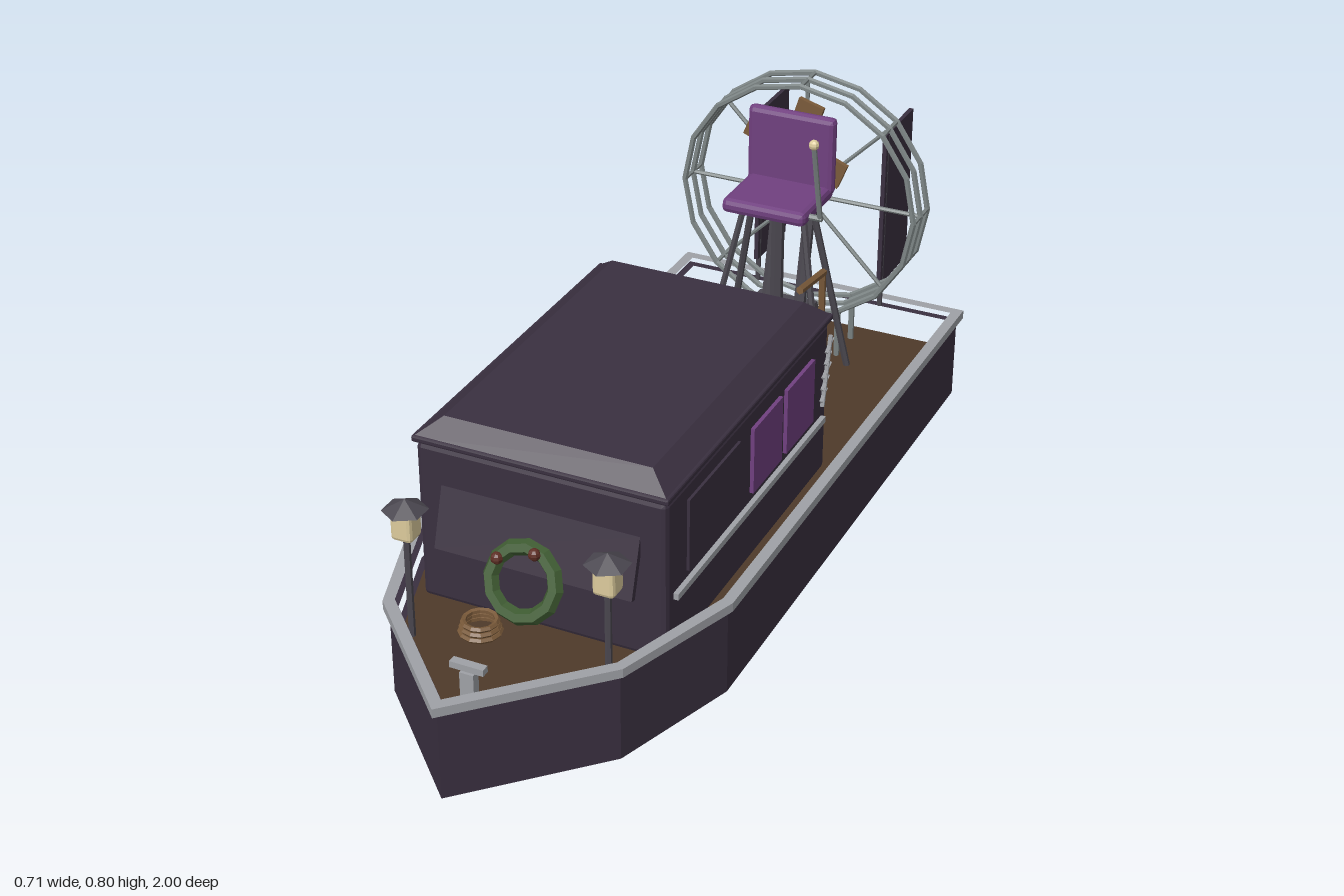
import * as THREE from 'three';
import { RoundedBoxGeometry } from 'three/addons/geometries/RoundedBoxGeometry.js';

const mat = (name, color, flat = true) => {
  const m = new THREE.MeshStandardMaterial({ color, flatShading: flat });
  m.name = name;
  return m;
};

export function createModel() {
  const M = {
    hull: mat('dark plum paint', 0x3a3040),
    silver: mat('silver trim', 0x9fa1a6),
    steel: mat('cage steel', 0x7d8585),
    deck: mat('deck brown', 0x4e3a2a),
    wood: mat('light wood', 0x7a5a3a),
    purple: mat('purple', 0x70407f),
    green: mat('wreath green', 0x3f5c32),
    cream: mat('lamp cream', 0xdccb9c),
    red: mat('berry red', 0x5e2e24),
    slate: mat('slate', 0x4b4850),
  };
  const model = new THREE.Group();
  model.name = 'fanBoat';

  const add = (name, geo, m, x = 0, y = 0, z = 0, rx = 0, ry = 0, rz = 0) => {
    const mesh = new THREE.Mesh(geo, m);
    mesh.name = name;
    mesh.position.set(x, y, z);
    mesh.rotation.set(rx, ry, rz);
    model.add(mesh);
    return mesh;
  };
  const box = (w, h, d) => new THREE.BoxGeometry(w, h, d);
  const rbox = (w, h, d, r) => new RoundedBoxGeometry(w, h, d, 1, r);
  // Box whose top is scaled by kx, kz
  const taper = (w, h, d, kx, kz) => {
    const g = box(w, h, d), p = g.attributes.position;
    for (let i = 0; i < p.count; i++) {
      if (p.getY(i) > 0) p.setXYZ(i, p.getX(i) * kx, p.getY(i), p.getZ(i) * kz);
    }
    g.computeVertexNormals();
    return g;
  };
  // Straight rod between two points
  const rod = (name, a, b, r, m, sides = 6) => {
    const A = new THREE.Vector3(...a), B = new THREE.Vector3(...b), d = B.clone().sub(A);
    const mesh = add(name, new THREE.CylinderGeometry(r, r, d.length(), sides), m);
    mesh.position.copy(A).add(B).multiplyScalar(0.5);
    mesh.quaternion.setFromUnitVectors(new THREE.Vector3(0, 1, 0), d.normalize());
    return mesh;
  };

  // Hull: plan outline grown by o, extruded upward
  const outline = (o) => {
    const half = [[0.345 + o, -0.86 - o], [0.345 + o, 0.45 + o * 0.3], [0.25 + o * 0.8, 0.73 + o * 0.6], [0, 0.98 + o * 1.4]];
    const pts = [...half, ...half.slice(0, 3).reverse().map(([x, z]) => [-x, z])];
    return pts.map(([x, z]) => new THREE.Vector2(x, -z));
  };
  const slab = (o, inner, h) => {
    const s = new THREE.Shape(outline(o));
    if (inner !== null) s.holes.push(new THREE.Path(outline(inner)));
    return new THREE.ExtrudeGeometry(s, { depth: h, bevelEnabled: false }).rotateX(-Math.PI / 2);
  };
  const DECK = 0.13;
  add('hullBottom', slab(0, null, 0.12), M.hull);
  add('hullWall', slab(0, -0.018, 0.08), M.hull, 0, 0.12);
  add('deck', slab(-0.017, null, 0.01), M.deck, 0, 0.12);
  add('rim', slab(0.012, -0.012, 0.02), M.silver, 0, 0.198);

  // Cabin
  add('cabin', rbox(0.54, 0.36, 0.8, 0.012), M.hull, 0, 0.305, 0.17);
  add('roofEdge', rbox(0.552, 0.014, 0.815, 0.004), M.hull, 0, 0.492, 0.168);
  add('roof', taper(0.546, 0.038, 0.81, 0.82, 0.9), M.hull, 0, 0.515, 0.168);
  add('frontHatch', box(0.43, 0.13, 0.014), M.hull, 0, 0.335, 0.583, -0.3);
  add('backDoor', box(0.2, 0.29, 0.01), M.hull, 0, 0.285, -0.234);
  add('doorHandle', box(0.016, 0.04, 0.012), M.slate, 0.07, 0.32, -0.244);
  for (const s of [-1, 1]) {
    for (const z of [0.107, -0.063]) {
      add('sideWindow', box(0.009, 0.15, 0.145), M.purple, s * 0.274, 0.365, z);
    }
    // Framed side panel
    add('sidePanel', box(0.008, 0.16, 0.24), M.hull, s * 0.272, 0.365, 0.36);
    add('sideRail', box(0.012, 0.014, 0.74), M.silver, s * 0.275, 0.262, 0.17);
    // Slanted fish-bone ornament
    rod('boneSpine', [s * 0.284, 0.31, -0.17], [s * 0.284, 0.465, -0.205], 0.005, M.silver);
    for (let i = 0; i < 5; i++) {
      const y = 0.335 + i * 0.027, z = -0.176 - i * 0.006, w = 0.014 + (i % 3) * 0.003;
      rod('boneRib', [s * 0.284, y - 0.01, z + w], [s * 0.284, y + 0.01, z - w], 0.004, M.silver, 5);
    }
  }

  // Bow lamps
  for (const s of [-1, 1]) {
    const x = s * 0.215, z = 0.707;
    rod('lampPost', [x, DECK, z], [x, 0.365, z], 0.007, M.slate);
    add('lampGlass', rbox(0.046, 0.064, 0.046, 0.008), M.cream, x, 0.392, z);
    add('lampCap', new THREE.ConeGeometry(0.046, 0.024, 6), M.slate, x, 0.434, z);
  }

  // Wreath leaning against the cabin front
  add('wreath', new THREE.TorusGeometry(0.07, 0.017, 6, 12), M.green, 0, 0.279, 0.642, -0.38);
  for (const [x, y, z] of [[0.022, 0.343, 0.634], [-0.056, 0.318, 0.642]]) {
    add('wreathBerry', new THREE.SphereGeometry(0.013, 8, 6), M.red, x, y, z);
  }
  // Rope coil and bow cleat
  for (let i = 0; i < 3; i++) {
    add('ropeCoil', new THREE.TorusGeometry(0.04 - i * 0.003, 0.006, 5, 12), M.wood, -0.1, DECK + 0.006 + i * 0.011, 0.64, Math.PI / 2);
  }
  add('bowCleatBase', box(0.03, 0.085, 0.02), M.silver, 0, 0.17, 0.86);
  add('bowCleat', box(0.072, 0.014, 0.018), M.silver, 0, 0.224, 0.86);

  // Strapped crate behind the cabin
  add('crate', box(0.19, 0.085, 0.25), M.deck, -0.015, DECK + 0.0425, -0.37, 0, 0.03);
  for (const z of [-0.44, -0.325]) {
    add('crateStrap', box(0.2, 0.094, 0.024), M.wood, -0.015, DECK + 0.047, z, 0, 0.06);
  }

  // Engine block and seat frame
  add('engineBlock', taper(0.19, 0.15, 0.2, 0.75, 0.75), M.slate, 0, 0.205, -0.585);
  for (const s of [-1, 1]) {
    for (const [top, bottom] of [[-0.56, -0.495], [-0.61, -0.66]]) {
      rod('seatLeg', [s * 0.07, 0.55, top], [s * 0.15, DECK, bottom], 0.008, M.slate);
    }
    rod('seatBrace', [s * 0.04, 0.27, -0.627], [s * 0.04, 0.5, -0.676], 0.014, M.slate);
  }
  rod('seatPost', [0, 0.27, -0.585], [0, 0.56, -0.585], 0.015, M.slate);

  // Seat with a wooden cross behind the back
  add('seatCushion', rbox(0.2, 0.034, 0.18, 0.012), M.purple, 0, 0.563, -0.58);
  add('seatBack', rbox(0.21, 0.185, 0.03, 0.012), M.purple, 0, 0.652, -0.657);
  for (const a of [73, 158]) {
    add('backBoard', box(0.25, 0.062, 0.012), M.wood, 0, 0.643, -0.678, 0, 0, a * Math.PI / 180);
  }
  // Control stick and tiller
  rod('stickArm', [0.09, 0.562, -0.525], [0.13, 0.562, -0.525], 0.007, M.steel);
  rod('controlStick', [0.125, 0.56, -0.525], [0.125, 0.755, -0.476], 0.006, M.steel);
  add('stickKnob', new THREE.SphereGeometry(0.012, 8, 6), M.cream, 0.125, 0.76, -0.475);
  rod('tillerPost', [0.12, DECK, -0.568], [0.12, 0.41, -0.565], 0.008, M.wood);
  rod('tillerHandle', [0.12, 0.408, -0.57], [0.12, 0.427, -0.43], 0.009, M.wood);

  // Fan cage: three rings, cross ties, spokes and hub
  const CY = 0.506, R = 0.283, rings = [-0.695, -0.74, -0.785];
  for (const z of rings) {
    add('cageRing', new THREE.TorusGeometry(R, 0.007, 6, 16), M.steel, 0, CY, z);
  }
  for (let i = 0; i < 8; i++) {
    const a = i * Math.PI / 4, x = Math.cos(a) * R, y = CY + Math.sin(a) * R;
    rod('cageTie', [x, y, rings[0]], [x, y, rings[2]], 0.005, M.steel);
    rod('cageSpoke', [0, CY, -0.74], [x, y, -0.74], 0.005, M.steel);
  }
  add('fanHub', new THREE.CylinderGeometry(0.024, 0.024, 0.045, 8), M.steel, 0, CY, -0.737, Math.PI / 2);
  for (const s of [-1, 1]) {
    for (const z of [rings[0], rings[2]]) rod('cageFoot', [s * 0.11, DECK, z], [s * 0.11, 0.25, z], 0.007, M.steel);
  }

  // Twin rudders
  for (const s of [-1, 1]) {
    add('rudder', box(0.01, 0.385, 0.17), M.hull, s * 0.157, 0.453, -0.915);
    rod('rudderPost', [s * 0.157, 0.2, -0.845], [s * 0.157, 0.64, -0.845], 0.006, M.slate);
  }
  return model;
}
